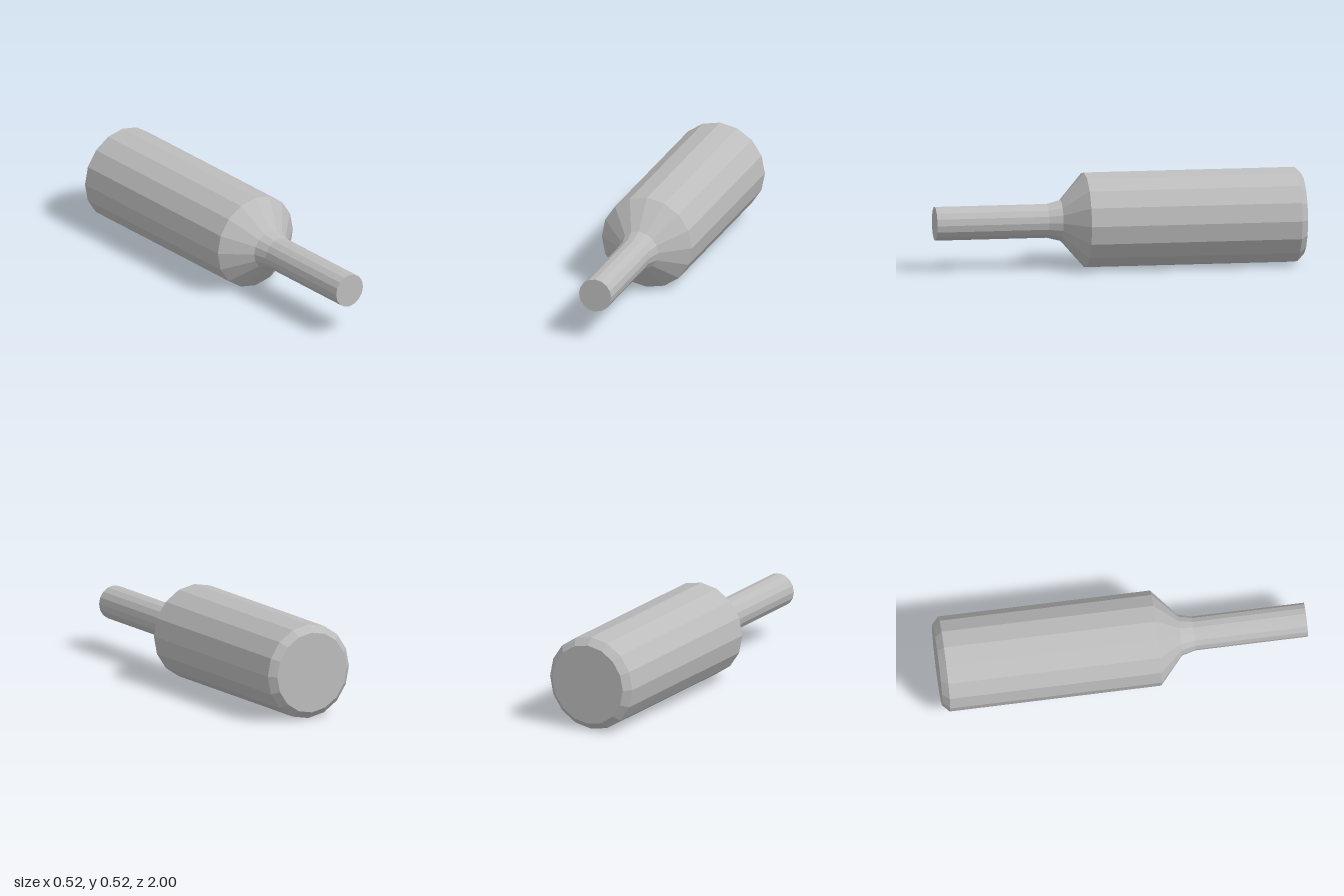
import * as THREE from 'three';

const SIDES = 16;
const AXIS_Y = 0.258;

export function createModel() {
  const model = new THREE.Group();
  model.name = 'steppedPin';

  const metal = new THREE.MeshStandardMaterial({ color: 0xbcbcbc });
  metal.name = 'grey metal';
  metal.flatShading = true;

  // Turned part along z; the profile lists [radius, z] from back to front
  function turned(name, profile) {
    const points = profile.map(([r, z]) => new THREE.Vector2(r, z));
    const geometry = new THREE.LatheGeometry(points, SIDES);
    geometry.rotateX(Math.PI / 2);
    const mesh = new THREE.Mesh(geometry, metal);
    mesh.name = name;
    mesh.position.y = AXIS_Y;
    model.add(mesh);
  }

  // Thick body with a closed, bevelled back end
  turned('body', [[0, -1], [0.22, -1], [0.258, -0.963], [0.258, 0.185]]);

  // Cone and small fillet down to the shaft
  turned('shoulder', [[0.258, 0.185], [0.111, 0.315], [0.092, 0.39]]);

  // Thin shaft with a closed front end
  turned('shaft', [[0.092, 0.39], [0.092, 1], [0, 1]]);

  return model;
}
